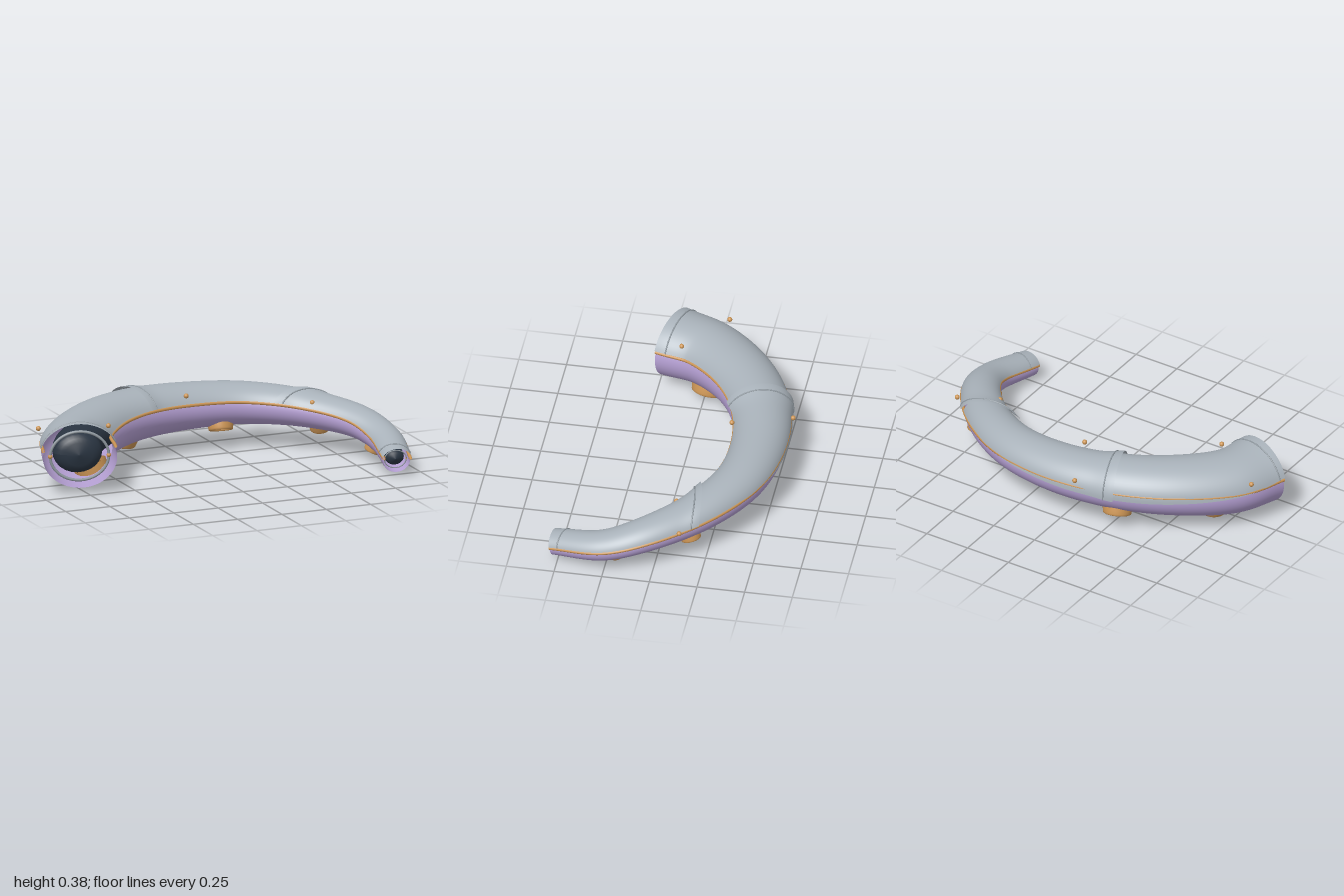
import * as THREE from 'three';

const mat = (name, color, side = THREE.FrontSide) => {
  const m = new THREE.MeshStandardMaterial({ color, side });
  m.name = name;
  return m;
};
const rad = THREE.MathUtils.degToRad;
const SQUASH = 0.85; // cross-sections are a little flatter than wide

// Centre line from the wide end to the narrow end
const spine = new THREE.CatmullRomCurve3([
  [-0.785, 0.2, 0.195], [-0.715, 0.205, 0], [-0.5, 0.225, -0.22], [-0.24, 0.235, -0.355],
  [0.06, 0.235, -0.405], [0.37, 0.232, -0.36], [0.645, 0.215, -0.19], [0.845, 0.18, 0.06],
  [0.9, 0.13, 0.26], [0.855, 0.085, 0.525],
].map((p) => new THREE.Vector3(...p)));
spine.arcLengthDivisions = 600;

const bodyRadius = (u) => 0.192 - 0.122 * u;

// Frame across the spine: "out" is the outside of the bend
function frame(u) {
  const t = THREE.MathUtils.clamp(u, 0, 1);
  const c = spine.getPointAt(t);
  const tan = spine.getTangentAt(t);
  const out = new THREE.Vector3(0, 1, 0).cross(tan).normalize();
  const up = tan.cross(out).normalize();
  return { c, out, up };
}

// Point on the body at angle a: 0 outside, 90 top, 180 inside of the bend
function at(u, a, r) {
  const { c, out, up } = frame(u);
  return c.addScaledVector(out, r * Math.cos(a)).addScaledVector(up, r * SQUASH * Math.sin(a));
}

// Grid surface from a rule f(s, t) -> Vector3
function surface(f, ns, nt) {
  const pos = [], idx = [];
  for (let i = 0; i <= ns; i++) for (let j = 0; j <= nt; j++) pos.push(...f(i / ns, j / nt).toArray());
  for (let i = 0; i < ns; i++) for (let j = 0; j < nt; j++) {
    const a = i * (nt + 1) + j, b = a + nt + 1;
    idx.push(a, a + 1, b, a + 1, b + 1, b);
  }
  const g = new THREE.BufferGeometry();
  g.setAttribute('position', new THREE.Float32BufferAttribute(pos, 3));
  g.setIndex(idx);
  g.computeVertexNormals();
  return g;
}

function tube(f, n, r, closed = false) {
  const pts = Array.from({ length: n + (closed ? 0 : 1) }, (_, i) => f(i / n));
  return new THREE.TubeGeometry(new THREE.CatmullRomCurve3(pts, closed), n * 2, r, 8, closed);
}

export function createModel() {
  const armor = mat('grey armor', 0xa9b2ba, THREE.DoubleSide);
  const skin = mat('lilac belly', 0xb49fd2, THREE.DoubleSide);
  const copper = mat('copper', 0xcc9555, THREE.DoubleSide);
  const dark = mat('dark core', 0x2a3542, THREE.DoubleSide);
  const steel = mat('rib grey', 0x8f989f);

  const model = new THREE.Group();
  const add = (name, geo, m, pos) => {
    const mesh = new THREE.Mesh(geo, m);
    mesh.name = name;
    if (pos) mesh.position.copy(pos);
    model.add(mesh);
    return mesh;
  };

  const seamOut = rad(12), seamIn = rad(160);

  // Belly: open half tube below the seams
  add('belly', surface((s, t) => {
    const a = THREE.MathUtils.lerp(seamIn, Math.PI * 2 + seamOut, t);
    return at(s, a, bodyRadius(s));
  }, 110, 36), skin);

  // Inner core with rounded ends
  add('core', surface((s, t) => {
    const u = 0.015 + s * 0.975;
    const end = Math.min(1, s / 0.03, (1 - s) / 0.015);
    const r = bodyRadius(u) * 0.69 * Math.sqrt(end * (2 - end));
    return at(u, t * Math.PI * 2, r);
  }, 200, 24), dark);

  // Armor shells, each flared where it begins and overlapping the one before
  const edgeOut = (u) => rad(17 - (u < 0.62 ? 19 * Math.sin(Math.PI * u / 0.62) : 0));
  const edgeIn = rad(157);
  const shells = [
    { from: 0, to: 0.325, skew: 0, flare: 0.006 },
    { from: 0.305, to: 0.71, skew: 0, flare: 0.017 },
    { from: 0.67, to: 1, skew: 0.045, flare: 0.013 },
  ];
  const shellPoint = ({ from, to, skew, flare }, s, t) => {
    const base = from + (to - from) * s;
    const a = THREE.MathUtils.lerp(edgeOut(base), edgeIn, t);
    const u = base + skew * Math.cos(a) * (1 - s);
    const d = (base - from) / 0.03;
    return at(u, a, bodyRadius(u) + 0.012 + flare * Math.exp(-d * d));
  };
  shells.forEach((shell, i) => {
    add('armorShell' + (i + 1), surface((s, t) => shellPoint(shell, s, t), 60, 28), armor);
    const s = 0.018 / (shell.to - shell.from);
    add('shellRib' + (i + 1), tube((t) => shellPoint(shell, s, t), 24, 0.004), steel);
  });
  add('tipRib', tube((t) => shellPoint(shells[2], 0.93, t), 24, 0.004), steel);

  // Copper trim along both seams
  for (const [name, a] of [['outerTrim', seamOut], ['innerTrim', seamIn]]) {
    add(name, tube((u) => at(u, a, bodyRadius(u) + 0.004), 70, 0.009), copper);
  }

  // Rings around the core at both ends, with copper studs
  for (const [u, name] of [[0.012, 'wideEndRing'], [0.988, 'tipRing']]) {
    const r = bodyRadius(u) * 0.8;
    add(name, tube((t) => at(u, t * Math.PI * 2, r), 32, r * 0.05, true), steel);
    for (const a of [0, 180]) {
      add('ringStud', new THREE.SphereGeometry(r * 0.08, 10, 8), copper, at(u, rad(a), r));
    }
  }

  // Rivets on the shells
  const rivets = [
    [-0.9, 0.3, -0.08], [-0.592, 0.33, 0.117], [-0.12, 0.308, -0.553],
    [0.01, 0.335, -0.255], [0.643, 0.275, -0.078], [0.87, 0.24, -0.133],
  ];
  for (const p of rivets) {
    add('rivet', new THREE.SphereGeometry(0.013, 12, 10), copper, new THREE.Vector3(...p));
  }

  // Suction cups, alternately leaning to the inside and outside of the bend
  [0.105, 0.305, 0.51, 0.715, 0.875].forEach((u, i) => {
    const R = 0.096 - 0.056 * u;
    const a = rad(i % 2 ? -70 : -110);
    const { out, up } = frame(u);
    const axis = out.multiplyScalar(Math.cos(a)).addScaledVector(up, Math.sin(a)).normalize();
    const profile = [
      [1.0, -0.45], [0.98, 0], [0.95, 0.22], [0.93, 0.33], [0.86, 0.37],
      [0.77, 0.33], [0.73, 0.2], [0.68, -0.3],
    ].map(([x, y]) => new THREE.Vector2(x * R, y * R));
    const cup = add('suctionCup', new THREE.LatheGeometry(profile, 32), copper, at(u, a, bodyRadius(u)));
    cup.quaternion.setFromUnitVectors(new THREE.Vector3(0, 1, 0), axis);
  });

  return model;
}
